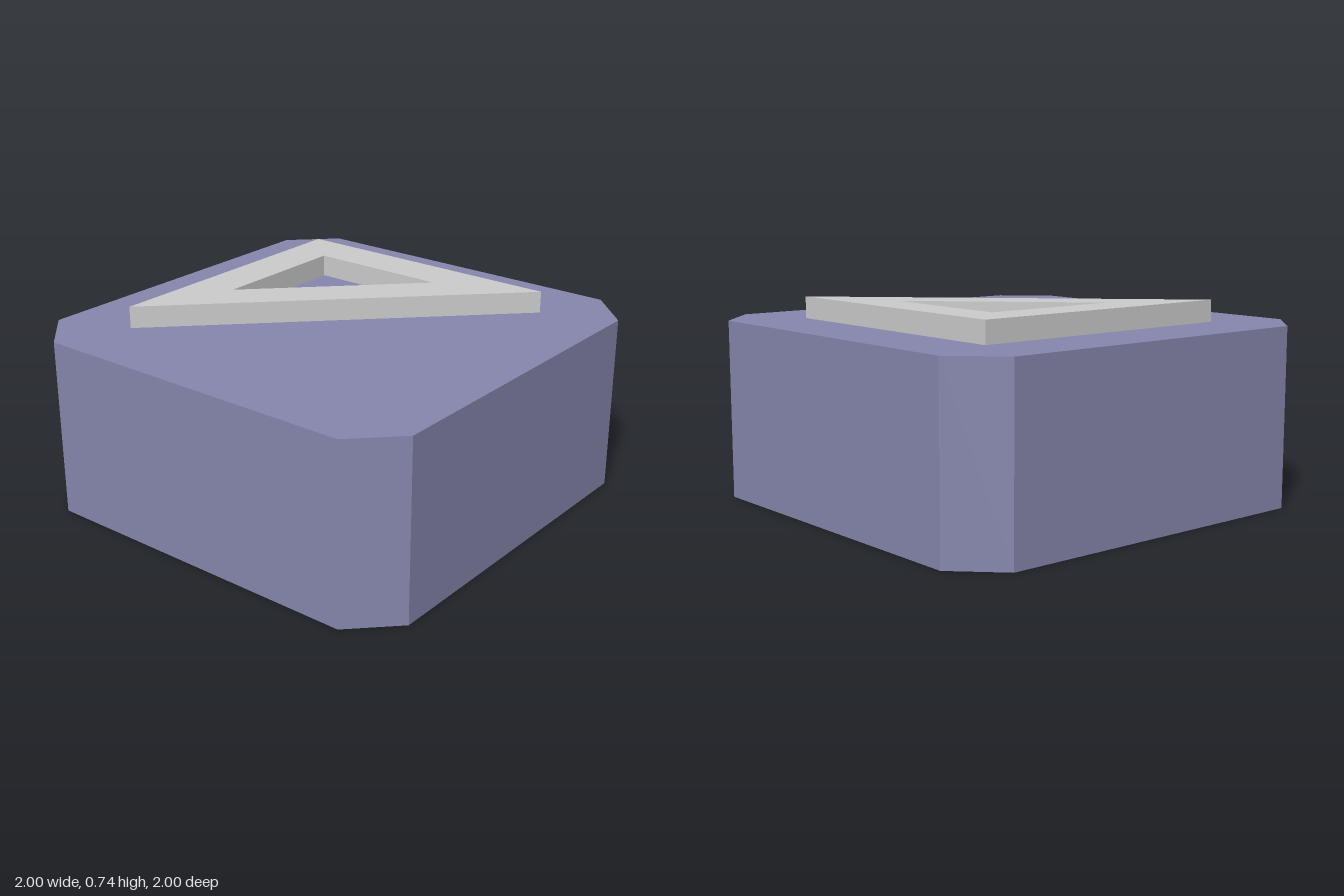
import * as THREE from 'three';

const points = (list) => list.map(([x, y]) => new THREE.Vector2(x, y));

// Extrudes a plan outline (shape y points to the back, -z) upward from y0 to y1
function slab(name, shape, y0, y1, color) {
  const geometry = new THREE.ExtrudeGeometry(shape, { depth: y1 - y0, bevelEnabled: false });
  geometry.rotateX(-Math.PI / 2);
  geometry.translate(0, y0, 0);
  const mesh = new THREE.Mesh(geometry, new THREE.MeshStandardMaterial({ color, flatShading: true }));
  mesh.name = name;
  return mesh;
}

export function createModel() {
  const group = new THREE.Group();
  group.name = 'buttonBlock';
  const bodyTop = 0.655;

  // Diamond block with its four corners cut off
  const c = 0.112;
  const outline = new THREE.Shape(points([
    [1, -c], [1, c], [c, 1], [-c, 1], [-1, c], [-1, -c], [-c, -1], [c, -1],
  ]));
  group.add(slab('body', outline, 0, bodyTop, 0x8686ad));

  // Raised triangular frame on the back half of the top
  const triangle = new THREE.Shape(points([[-0.74, 0], [0.74, 0], [0, 0.74]]));
  triangle.holes.push(new THREE.Path(points([[-0.37, 0.145], [0, 0.515], [0.37, 0.145]])));
  group.add(slab('triangleFrame', triangle, bodyTop, 0.735, 0xcccccc));

  return group;
}
